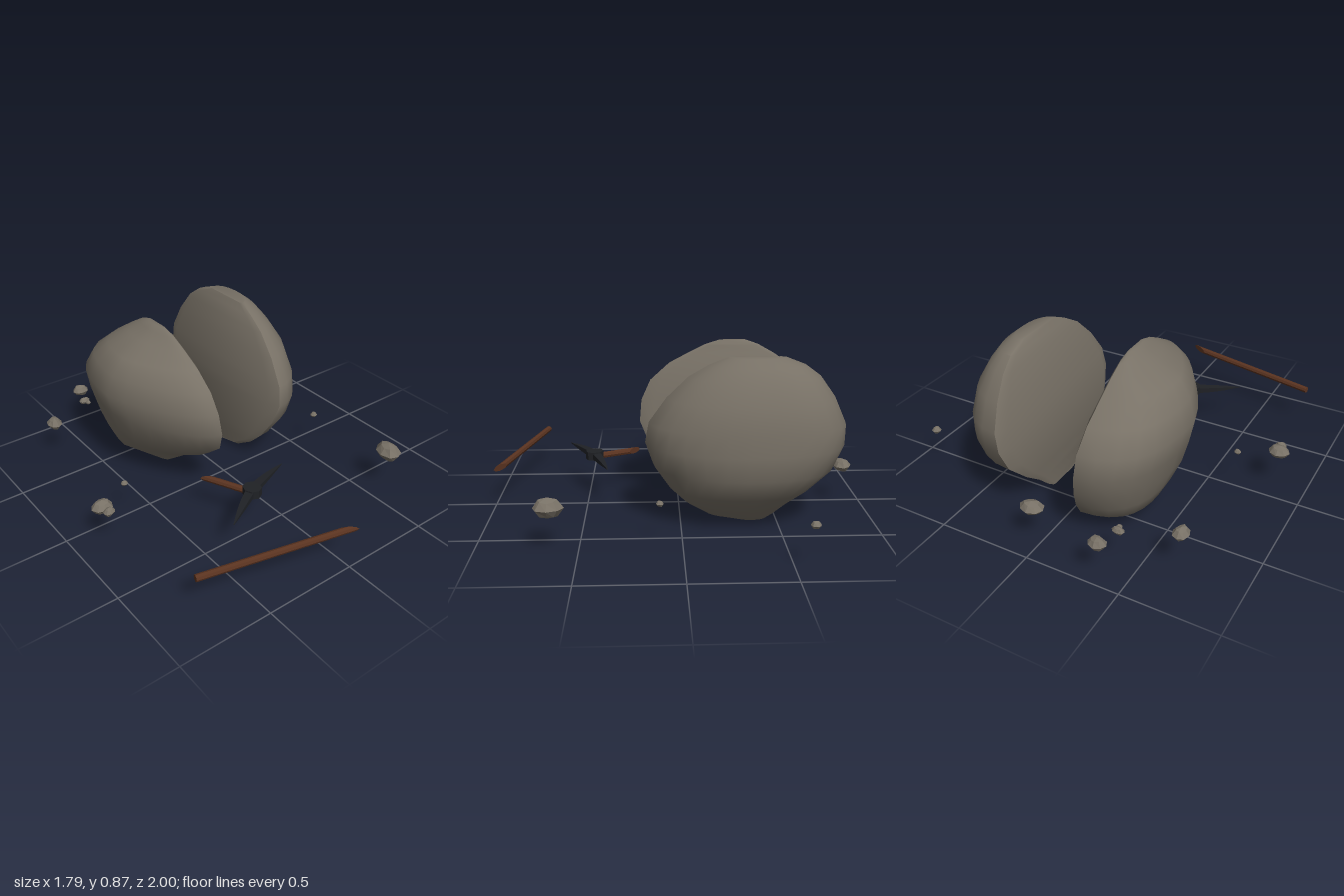
import * as THREE from 'three';
import { toCreasedNormals } from 'three/addons/utils/BufferGeometryUtils.js';

const stone = new THREE.MeshStandardMaterial({ color: 0x787166 });
stone.name = 'stone';
const wood = new THREE.MeshStandardMaterial({ color: 0x5a3320 });
wood.name = 'wood';
const iron = new THREE.MeshStandardMaterial({ color: 0x1f2125 });
iron.name = 'iron';

function part(name, geometry, material) {
  const mesh = new THREE.Mesh(geometry, material);
  mesh.name = name;
  return mesh;
}

// Separate faces so every facet is flat
function faceted(geometry) {
  const g = geometry.index ? geometry.toNonIndexed() : geometry;
  g.computeVertexNormals();
  return g;
}

// Move every vertex of a geometry by a rule
function reshape(geometry, rule) {
  const p = geometry.attributes.position;
  const v = new THREE.Vector3();
  for (let i = 0; i < p.count; i++) {
    rule(v.fromBufferAttribute(p, i));
    p.setXYZ(i, v.x, v.y, v.z);
  }
  return geometry;
}

// Split boulder half: D-shaped levels of [y, flat face x, outer x, back z, front z].
// The flat face has a chamfered rim; slim thins the bulge towards the front.
function boulderHalf(levels, slim) {
  const N = 15, M = N + 2, positions = [], index = [];
  const mirrored = levels[0][2] < levels[0][1];
  const face = (a, b, c) => index.push(...(mirrored ? [a, c, b] : [a, b, c]));
  levels.forEach(([y, inner, outer, back, front]) => {
    const mid = (front + back) / 2, half = (front - back) / 2;
    const rim = inner + (mirrored ? -1 : 1) * 0.055 * half;
    for (let i = 0; i < N; i++) {
      const c = Math.cos((i / (N - 1)) * Math.PI);
      const bulge = Math.sqrt(Math.max(0, 1 - c * c)) * (c > 0 ? 1 - slim * c : 1 + 0.25 * c * c);
      positions.push(rim + (outer - rim) * bulge, y, mid + half * c);
    }
    positions.push(inner, y, mid - half * 0.86, inner, y, mid + half * 0.86);
  });
  const top = (levels.length - 1) * M;
  for (let k = 0; k < top; k += M) {
    for (let i = 0; i < M; i++) {
      const j = (i + 1) % M;
      face(k + i, k + j, k + M + j);
      face(k + i, k + M + j, k + M + i);
    }
  }
  for (let i = 1; i < M - 1; i++) {
    face(0, i + 1, i);
    face(top, top + i, top + i + 1);
  }
  const g = new THREE.BufferGeometry();
  g.setAttribute('position', new THREE.Float32BufferAttribute(positions, 3));
  g.setIndex(index);
  return toCreasedNormals(g, 0.75);
}

// Pebble: a squashed low-poly stone with a sharp waist and flattish top and bottom
function pebble(rx, ry, rz, seed) {
  const g = new THREE.SphereGeometry(1, 8, 4);
  reshape(g, (v) => {
    const a = Math.atan2(v.z, v.x), waist = Math.hypot(v.x, v.z);
    const k = 1 + 0.05 * waist * Math.sin(3 * a + seed * 2.3) - (Math.abs(v.y) > 0.1 ? 0.15 : 0);
    const lift = 1 + 0.2 * waist * Math.sin(2 * a + seed);
    v.set(v.x * k * rx, v.y * lift * ry, v.z * k * rz);
  });
  return faceted(g);
}

// Handle along +x from the origin, snapped off at a slant
function brokenHandle(length, splinter, side) {
  const r = 0.018;
  const g = new THREE.CylinderGeometry(r, r, length, 8, 1);
  g.translate(0, length / 2, 0);
  reshape(g, (v) => {
    if (v.y > length / 2) v.y -= (splinter * (1 - (side * v.z) / r)) / 2;
  });
  return faceted(g.rotateZ(-Math.PI / 2));
}

export function createModel() {
  const model = new THREE.Group();
  model.name = 'splitBoulderAndPickaxe';

  model.add(part('rightBoulderHalf', boulderHalf([
    [0, -0.18, -0.23, -0.45, -0.28],
    [0.03, -0.13, -0.29, -0.6, -0.23],
    [0.12, -0.11, -0.4, -0.71, -0.11],
    [0.2, -0.113, -0.44, -0.76, 0.04],
    [0.3, -0.123, -0.48, -0.8, 0.16],
    [0.42, -0.143, -0.51, -0.83, 0.21],
    [0.54, -0.158, -0.535, -0.82, 0.2],
    [0.65, -0.172, -0.5, -0.74, 0.15],
    [0.74, -0.183, -0.44, -0.62, 0.05],
    [0.8, -0.19, -0.32, -0.53, -0.06],
    [0.845, -0.197, -0.26, -0.45, -0.15],
    [0.87, -0.205, -0.23, -0.38, -0.23],
  ], 0.35), stone));

  model.add(part('leftBoulderHalf', boulderHalf([
    [0, 0.195, 0.28, -0.46, -0.27],
    [0.03, 0.195, 0.32, -0.5, -0.13],
    [0.1, 0.195, 0.4, -0.57, -0.02],
    [0.18, 0.195, 0.48, -0.67, 0.06],
    [0.3, 0.2, 0.55, -0.79, 0.14],
    [0.42, 0.212, 0.555, -0.84, 0.18],
    [0.53, 0.225, 0.55, -0.84, 0.16],
    [0.66, 0.245, 0.53, -0.78, 0.07],
    [0.77, 0.265, 0.47, -0.7, -0.04],
    [0.83, 0.28, 0.43, -0.62, -0.14],
    [0.87, 0.295, 0.38, -0.52, -0.23],
  ], 0), stone));

  // Scattered pebbles: x, z, then half sizes in x, y, z
  [
    [-0.37, -0.96, 0.048, 0.035, 0.04],
    [-0.41, -0.838, 0.033, 0.022, 0.022],
    [-0.4, -0.808, 0.015, 0.012, 0.014],
    [0.03, -0.89, 0.065, 0.037, 0.05],
    [-0.67, -0.717, 0.042, 0.035, 0.052],
    [0.865, -0.585, 0.027, 0.02, 0.025],
    [-0.06, -0.225, 0.063, 0.045, 0.083],
    [-0.65, 0.01, 0.019, 0.015, 0.018],
    [-0.84, 0.11, 0.057, 0.038, 0.048],
    [-0.832, 0.165, 0.032, 0.025, 0.026],
    [0.575, 0.11, 0.021, 0.016, 0.019],
    [0.63, 0.64, 0.06, 0.053, 0.075],
  ].forEach(([x, z, rx, ry, rz], i) => {
    const mesh = part('pebble', pebble(rx, ry, rz, i), stone);
    mesh.position.set(x, 0.208 + ry * 0.2, z);
    model.add(mesh);
  });

  // Pickaxe head with its stub of handle
  const pickaxe = new THREE.Group();
  pickaxe.name = 'pickaxe';
  pickaxe.position.set(-0.18, 0.223, 0.468);
  pickaxe.rotation.y = 0.44;
  const blade = reshape(new THREE.BoxGeometry(0.56, 0.032, 0.046, 12), (v) => {
    const reach = Math.abs(v.x) / 0.28;
    const taper = 1 - 0.92 * Math.pow(reach, 1.8);
    v.set(v.x, v.y * taper, v.z * taper + 0.038 * Math.pow(reach, 1.4));
  });
  pickaxe.add(part('blade', faceted(blade), iron));
  const socket = new THREE.CylinderGeometry(0.05, 0.05, 0.046, 8);
  socket.rotateY(Math.PI / 8).scale(0.9, 1, 1);
  pickaxe.add(part('socket', faceted(socket), iron));
  const stub = part('handleStub', brokenHandle(0.288, 0.08, -1), wood);
  stub.rotation.y = Math.PI / 2;
  stub.position.y = -0.01;
  pickaxe.add(stub);
  model.add(pickaxe);

  // Broken-off length of handle
  const handle = part('brokenHandle', brokenHandle(0.838, 0.1, 1), wood);
  handle.position.set(-0.768, 0.212, 0.795);
  handle.rotation.y = -0.222;
  model.add(handle);

  return model;
}
